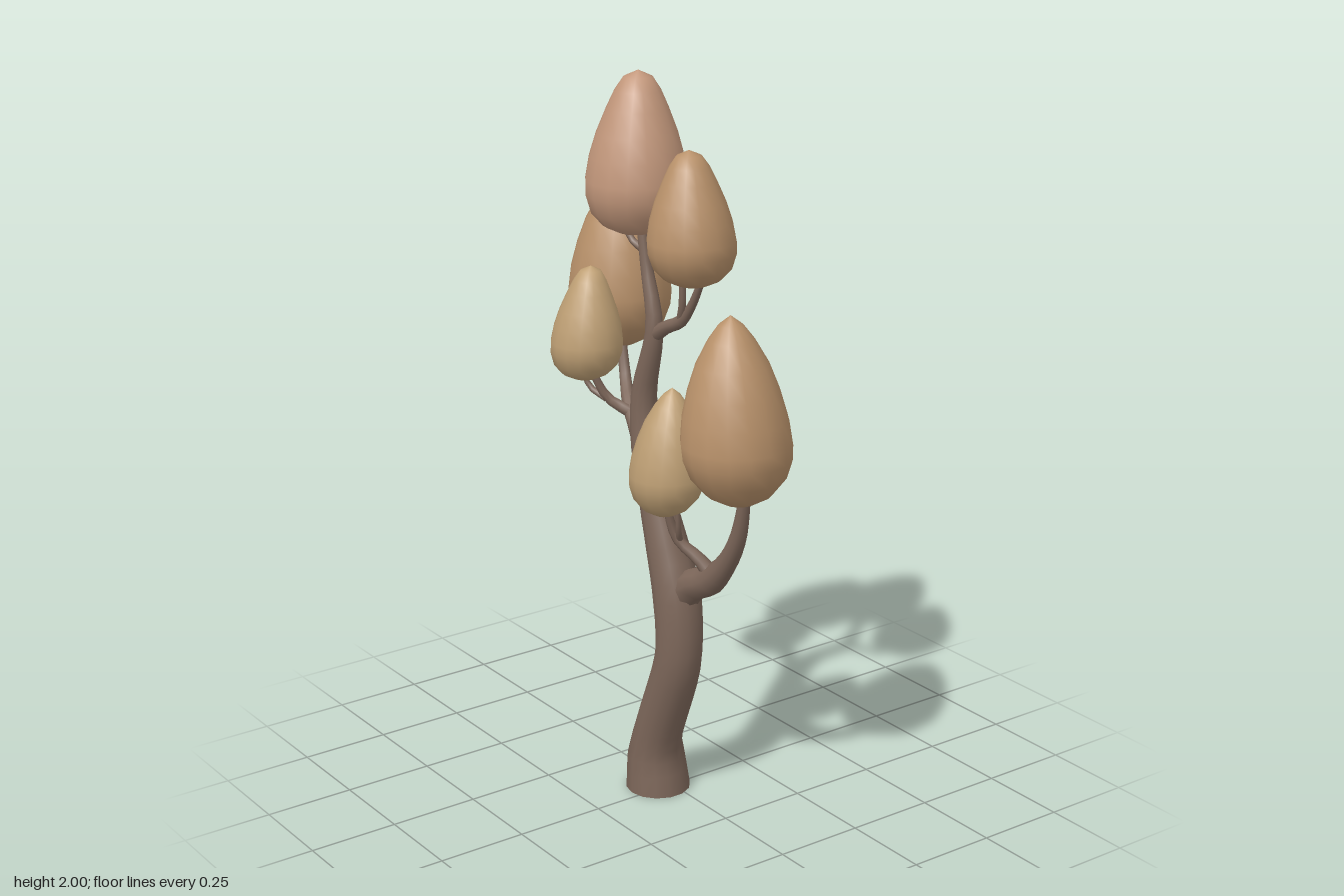
import * as THREE from 'three';

const mat = (color) => new THREE.MeshStandardMaterial({ color });
const bark = mat(0x7d675a);

// Tapered limb through points [x, y, z, radius]
function limb(name, pts, sides = 10, perSpan = 3) {
  const curve = new THREE.CatmullRomCurve3(pts.map((p) => new THREE.Vector3(p[0], p[1], p[2])));
  const seg = (pts.length - 1) * perSpan;
  const geo = new THREE.TubeGeometry(curve, seg, 1, sides);
  const pos = geo.attributes.position;
  const v = new THREE.Vector3();
  for (let i = 0; i <= seg; i++) {
    const centre = curve.getPointAt(i / seg);
    const t = curve.getUtoTmapping(i / seg) * (pts.length - 1);
    const k = Math.min(Math.floor(t), pts.length - 2);
    const r = THREE.MathUtils.lerp(pts[k][3], pts[k + 1][3], t - k);
    for (let j = 0; j <= sides; j++) {
      const n = i * (sides + 1) + j;
      v.fromBufferAttribute(pos, n).sub(centre).multiplyScalar(r).add(centre);
      pos.setXYZ(n, v.x, pts[0][1] === 0 && i === 0 ? 0 : Math.max(0, v.y), v.z);
    }
  }
  const mesh = new THREE.Mesh(geo, bark);
  mesh.name = name;
  return mesh;
}

// Leaf-clump half profiles: [radius fraction, height fraction]
const pointed = [[0, 0], [0.3, 0.012], [0.6, 0.06], [0.86, 0.15], [0.98, 0.25], [1, 0.33], [0.95, 0.46],
  [0.83, 0.6], [0.66, 0.74], [0.42, 0.87], [0.22, 0.95], [0, 1]];
const rounded = [[0, 0], [0.35, 0.015], [0.65, 0.06], [0.88, 0.14], [0.99, 0.25], [1, 0.34], [0.93, 0.48],
  [0.8, 0.62], [0.61, 0.77], [0.45, 0.88], [0.28, 0.96], [0, 1]];

// Teardrop leaf clump whose tip leans sideways from its widest ring
function clump(name, profile, color, [x, z], [y0, y1], r, [tipX, tipZ]) {
  const h = y1 - y0;
  const geo = new THREE.LatheGeometry(profile.map(([a, b]) => new THREE.Vector2(a * r, b * h)), 16);
  const pos = geo.attributes.position;
  for (let i = 0; i < pos.count; i++) {
    const lean = (pos.getY(i) / h - 0.33) / 0.67;
    pos.setX(i, pos.getX(i) + lean * (tipX - x));
    pos.setZ(i, pos.getZ(i) + lean * (tipZ - z));
  }
  const mesh = new THREE.Mesh(geo, mat(color));
  mesh.position.set(x, y0, z);
  mesh.name = name;
  return mesh;
}

export function createModel() {
  const tree = new THREE.Group();
  tree.name = 'tree';

  // Trunk with flared foot
  tree.add(limb('trunk', [
    [-0.025, 0, 0.03, 0.09], [-0.035, 0.1, 0.03, 0.08], [-0.025, 0.16, 0.03, 0.068],
    [0.065, 0.4, 0.03, 0.066], [0.075, 0.48, 0.03, 0.065], [0.063, 0.61, 0.03, 0.067],
    [0.025, 0.72, 0.03, 0.06], [-0.03, 0.86, 0.03, 0.049], [-0.075, 1.0, 0.03, 0.043],
    [-0.087, 1.13, 0.03, 0.036], [-0.045, 1.33, 0.025, 0.024], [-0.09, 1.5, 0.02, 0.016],
    [-0.115, 1.64, 0.02, 0.013]], 14));
  const foot = new THREE.Mesh(new THREE.CircleGeometry(0.09, 14), bark);
  foot.rotation.x = Math.PI / 2;
  foot.position.set(-0.025, 0.001, 0.03);
  foot.name = 'trunkUnderside';
  tree.add(foot);

  // Main branches
  tree.add(limb('lowerBranch', [
    [0.06, 0.59, 0.025, 0.055], [0.12, 0.65, 0.02, 0.045], [0.19, 0.685, 0.015, 0.042],
    [0.25, 0.745, 0.01, 0.03], [0.305, 0.84, 0.01, 0.023], [0.345, 0.99, 0.015, 0.014]]));
  tree.add(limb('middleBranch', [
    [-0.07, 0.97, 0.03, 0.035], [-0.13, 1.025, 0.02, 0.025], [-0.2, 1.075, 0, 0.019],
    [-0.26, 1.13, -0.03, 0.016], [-0.31, 1.25, -0.05, 0.013]]));
  tree.add(limb('upperBranch', [
    [-0.045, 1.31, 0.025, 0.022], [0.0, 1.34, 0.02, 0.018], [0.06, 1.37, 0.015, 0.017],
    [0.1, 1.42, 0.01, 0.012], [0.155, 1.52, 0.01, 0.009]]));

  // Twigs
  const twigs = [
    [[0.21, 0.7, 0.015, 0.024], [0.17, 0.745, 0.035, 0.018], [0.12, 0.795, 0.07, 0.014], [0.108, 0.9, 0.1, 0.01]],
    [[0.125, 0.79, 0.065, 0.01], [0.14, 0.825, 0.08, 0.008], [0.15, 0.9, 0.09, 0.006]],
    [[-0.17, 1.055, 0.01, 0.018], [-0.225, 1.095, 0.055, 0.014], [-0.25, 1.2, 0.1, 0.009]],
    [[-0.225, 1.09, 0.055, 0.01], [-0.275, 1.12, 0.08, 0.008], [-0.295, 1.2, 0.09, 0.006]],
    [[0.06, 1.37, 0.015, 0.013], [0.08, 1.42, 0.025, 0.01], [0.085, 1.52, 0.03, 0.008]],
    [[-0.097, 1.53, 0.02, 0.012], [-0.14, 1.55, 0.03, 0.009], [-0.175, 1.62, 0.04, 0.007]],
  ];
  twigs.forEach((p, i) => tree.add(limb('twig' + (i + 1), p, 8)));

  // Leaf clumps: centre [x, z], height range, radius, tip [x, z]
  const tan = 0xb8916a, sand = 0xbfa075, rose = 0xc2977b;
  tree.add(
    clump('topLeaves', rounded, rose, [-0.124, 0.025], [1.57, 2], 0.136, [-0.128, 0.015]),
    clump('upperLeftLeaves', rounded, tan, [0.102, 0.012], [1.48, 1.82], 0.117, [0.06, -0.01]),
    clump('rightLeaves', pointed, tan, [-0.32, -0.056], [1.2, 1.69], 0.143, [-0.304, -0.05]),
    clump('lowerLeftLeaves', pointed, tan, [0.315, 0.025], [0.955, 1.43], 0.146, [0.253, 0]),
    clump('smallLeftLeaves', pointed, sand, [0.112, 0.097], [0.865, 1.22], 0.102, [0.125, 0.09]),
    clump('smallRightLeaves', rounded, sand, [-0.256, 0.098], [1.15, 1.46], 0.099, [-0.26, 0.08]),
  );
  return tree;
}
